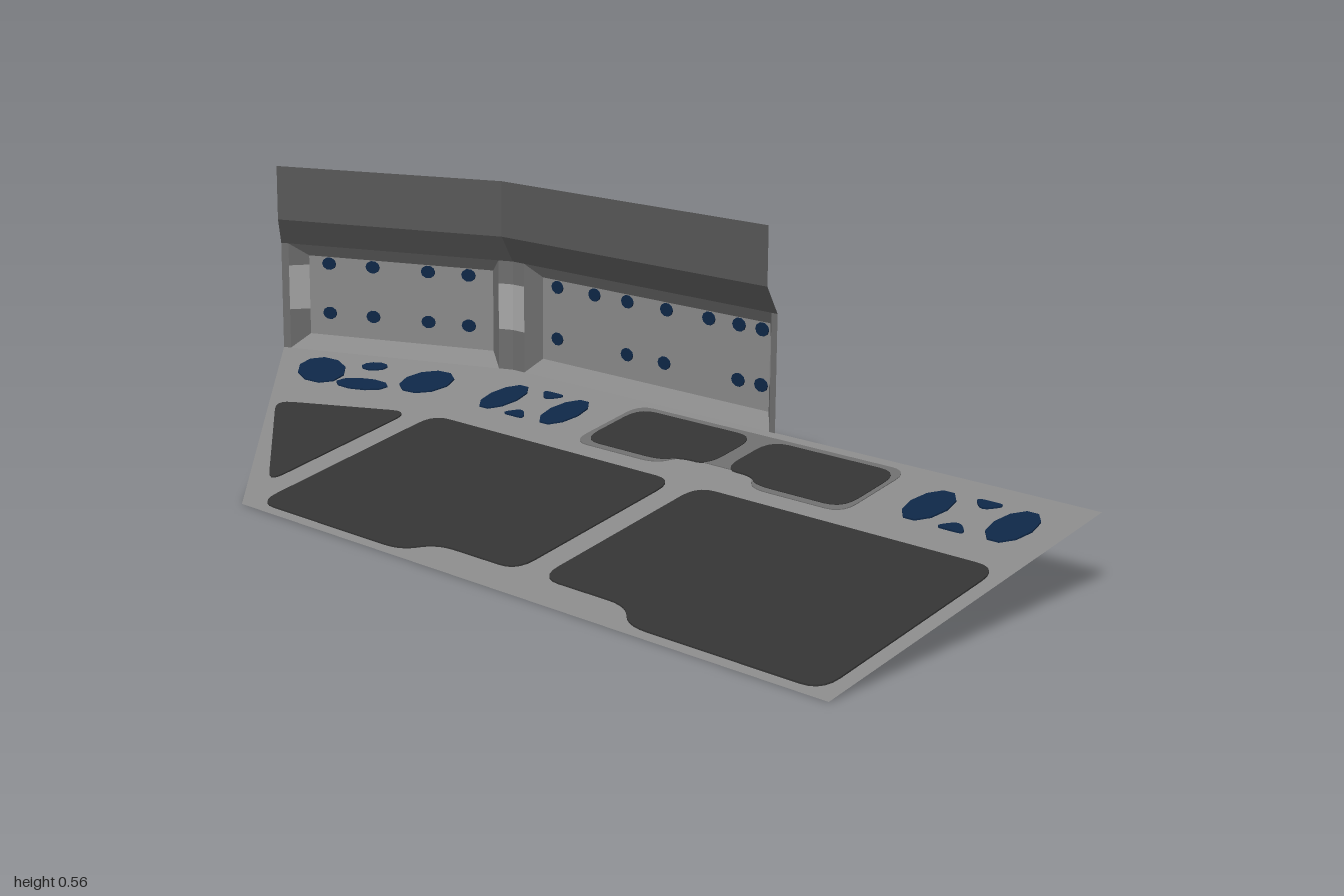
import * as THREE from 'three';

const mat = (name, color) => {
  const m = new THREE.MeshStandardMaterial({ color, side: THREE.DoubleSide });
  m.name = name;
  return m;
};

export function createModel() {
  const grey = mat('hull grey', 0x8a8a8a);
  const midGrey = mat('frame grey', 0x6e6e6e);
  const slate = mat('upper wall grey', 0x585858);
  const dark = mat('pad charcoal', 0x343434);
  const navy = mat('navy', 0x0e2747);
  const pale = mat('pale lamp', 0xa8a8a8);

  const model = new THREE.Group();
  const add = (parent, name, geometry, material) => {
    const mesh = new THREE.Mesh(geometry, material);
    mesh.name = name;
    parent.add(mesh);
    return mesh;
  };

  // Four-cornered sheet
  const quad = (a, b, c, d) => {
    const g = new THREE.BufferGeometry();
    g.setAttribute('position', new THREE.Float32BufferAttribute([a, b, c, a, c, d].flat(), 3));
    g.computeVertexNormals();
    return g;
  };

  // Polygon with rounded corners
  const rounded = (pts, r) => {
    const s = new THREE.Shape();
    const v = pts.map(p => new THREE.Vector2(...p));
    v.forEach((p, i) => {
      const prev = v[(i + v.length - 1) % v.length], next = v[(i + 1) % v.length];
      const cut = q => p.clone().lerp(q, Math.min(0.45, r / p.distanceTo(q)));
      const a = cut(prev), b = cut(next);
      if (i) s.lineTo(a.x, a.y); else s.moveTo(a.x, a.y);
      s.quadraticCurveTo(p.x, p.y, b.x, b.y);
    });
    s.closePath();
    return s;
  };
  const blob = (x, y, rx, ry, turn = 0) => {
    const s = new THREE.Shape();
    s.absellipse(x, y, rx, ry, 0, Math.PI * 2, false, turn);
    return s;
  };
  const plate = (shape, t) => new THREE.ExtrudeGeometry(shape, {
    depth: t, bevelEnabled: false, curveSegments: 5,
  }).translate(0, 0, -t / 2);

  // Deck: a sloping sheet folded along x = -0.48
  const deckY = (x, z) => 0.147 * (0.38 - z) / 0.74 + 0.084 * Math.max(0, -0.48 - x);
  const deckPoint = (x, z) => [x, deckY(x, z), z];
  add(model, 'mainDeck', quad(
    deckPoint(-0.48, 0.38), deckPoint(1, 0.38), deckPoint(1, -0.36), deckPoint(-0.48, -0.36)), grey);
  add(model, 'sideDeck', quad(
    deckPoint(-1, -0.14), deckPoint(-0.48, 0.38), deckPoint(-0.48, -0.36), deckPoint(-1, -0.14)), grey);

  // Plates drawn in plan (x, z) and dropped onto the slope
  const onDeck = (name, shape, material, t = 0.006) => {
    const g = plate(shape, t).rotateX(Math.PI / 2);
    const p = g.attributes.position;
    for (let i = 0; i < p.count; i++) p.setY(i, p.getY(i) + deckY(p.getX(i), p.getZ(i)));
    // Turning plan z downward keeps the winding outward
    g.computeVertexNormals();
    add(model, name, g, material);
  };

  // Large pads, mirrored about x = 0.26
  const padOutline = [[-0.45, -0.10], [0.23, -0.10], [0.23, 0.31], [0.02, 0.31], [-0.03, 0.36], [-0.45, 0.36]];
  onDeck('largePadRight', rounded(padOutline, 0.045), dark);
  onDeck('largePadLeft', rounded(padOutline.map(([x, z]) => [0.52 - x, z]), 0.045), dark);
  onDeck('trianglePad', rounded([[-0.79, 0.05], [-0.51, -0.085], [-0.51, 0.29]], 0.04), dark);

  // Paired small pads on a common rim
  const rect = (x0, x1, z0, z1, r) => rounded([[x0, z0], [x1, z0], [x1, z1], [x0, z1]], r);
  onDeck('smallPadRim', rounded([[-0.085, -0.337], [0.60, -0.337], [0.60, -0.145], [0.38, -0.145],
    [0.35, -0.19], [0.17, -0.19], [0.14, -0.145], [-0.085, -0.145]], 0.04), midGrey, 0.003);
  for (const x of [-0.07, 0.28]) {
    const flip = q => (x < 0 ? q : 0.52 - q);
    onDeck('smallPad', rounded([[flip(-0.07), -0.322], [flip(0.24), -0.322], [flip(0.24), -0.185],
      [flip(0.17), -0.185], [flip(0.14), -0.158], [flip(-0.07), -0.158]], 0.045), dark);
  }

  // Navy markings
  for (const x of [-0.295, 0.81]) {
    for (const s of [-1, 1]) {
      onDeck('deckMarking', blob(x + s * 0.09, -0.24, 0.04, 0.062), navy);
      onDeck('deckMarkingSmall', rounded([[x - 0.035, -0.24 + s * 0.062],
        [x + 0.035, -0.24 + s * 0.062], [x, -0.24 + s * 0.028]], 0.02), navy);
    }
  }
  for (const [x, z, rx, rz, turn] of [
    [-0.83, -0.11, 0.068, 0.05, 0.3], [-0.745, -0.19, 0.03, 0.018, -0.5],
    [-0.70, -0.115, 0.062, 0.025, -0.4], [-0.59, -0.205, 0.05, 0.06, 0.5],
  ]) onDeck('sideDeckMarking', blob(x, z, rx, rz, turn), navy);

  // Wall bays: local x runs along the wall, y up, -z outward
  const LOW = 0.147, HIGH = 0.385, PLOW = 0.178, PHIGH = 0.356, OUT = -0.027;

  const wallBay = (name, x, z, angle, length, o0, i0, i1, o1, lampEnd, topDots, lowDots) => {
    const bay = new THREE.Group();
    bay.name = name;
    bay.position.set(x, 0, z);
    bay.rotation.y = angle;
    model.add(bay);

    // Vertical strip between two edges [u, z, low, high], with an optional lamp
    const strip = (label, a, b, lamp) => {
      const piece = (n, la, ha, lb, hb, m) =>
        add(bay, n, quad([a[0], la, a[1]], [b[0], lb, b[1]], [b[0], hb, b[1]], [a[0], ha, a[1]]), m);
      if (!lamp) return piece(label, a[2], a[3], b[2], b[3], midGrey);
      piece(label, a[2], 0.235, b[2], 0.235, midGrey);
      piece(label + 'Lamp', 0.235, 0.335, 0.235, 0.335, pale);
      piece(label, 0.335, a[3], 0.335, b[3], midGrey);
    };
    const edge = u => [u, 0, LOW, HIGH], inner = u => [u, OUT, PLOW, PHIGH];
    const cornerAtStart = lampEnd === 1;
    strip('post', edge(0), edge(o0), cornerAtStart);
    strip('sideBevel', edge(o0), inner(i0), !cornerAtStart);
    strip('sideBevel', inner(i1), edge(o1), cornerAtStart);
    strip('post', edge(o1), edge(length), !cornerAtStart);

    // Panel pushed outward, with sloping sill and head
    add(bay, 'panel', quad([i0, PLOW, OUT], [i1, PLOW, OUT], [i1, PHIGH, OUT], [i0, PHIGH, OUT]), grey);
    add(bay, 'sill', quad([o0, LOW, 0], [o1, LOW, 0], [i1, PLOW, OUT], [i0, PLOW, OUT]), grey);
    add(bay, 'head', quad([i0, PHIGH, OUT], [i1, PHIGH, OUT], [o1, HIGH, 0], [o0, HIGH, 0]), grey);

    // Navy studs on both faces of the panel
    const stud = (u, y, rx, ry) =>
      add(bay, 'stud', plate(blob(u, y, rx, ry), 0.005).translate(0, 0, OUT), navy);
    topDots.forEach(u => stud(u, 0.341, 0.017, 0.014));
    lowDots.forEach(u => stud(u, 0.229, 0.017, 0.014));
  };

  const turn = Math.atan2(0.217, 0.52);
  const along = xs => xs.map(x => (x + 1) / Math.cos(turn) + 0.008);
  const leftDots = along([-0.91, -0.81, -0.685, -0.595]);
  wallBay('angledWallBay', -1, -0.14, turn, Math.hypot(0.52, 0.217),
    0.018, 0.055, 0.505, 0.53, 0, leftDots, leftDots);
  wallBay('straightWallBay', -0.48, -0.357, 0, 0.74,
    0.035, 0.065, 0.70, 0.725, 1,
    [0.11, 0.22, 0.315, 0.425, 0.54, 0.62, 0.68], [0.11, 0.315, 0.42, 0.62, 0.68]);

  // Upper wall: inward slope, then an upright band
  const base = [[-1, -0.14], [-0.48, -0.357], [0.26, -0.357]];
  const top = [[-0.98, -0.117], [-0.48, -0.325], [0.26, -0.325]];
  for (let i = 0; i < 2; i++) {
    const at = (p, j, y) => [p[j][0], y, p[j][1]];
    add(model, 'wallSlope', quad(
      at(base, i, HIGH), at(base, i + 1, HIGH), at(top, i + 1, 0.443), at(top, i, 0.443)), slate);
    add(model, 'wallBand', quad(
      at(top, i, 0.443), at(top, i + 1, 0.443), at(top, i + 1, 0.562), at(top, i, 0.562)), slate);
  }

  return model;
}
